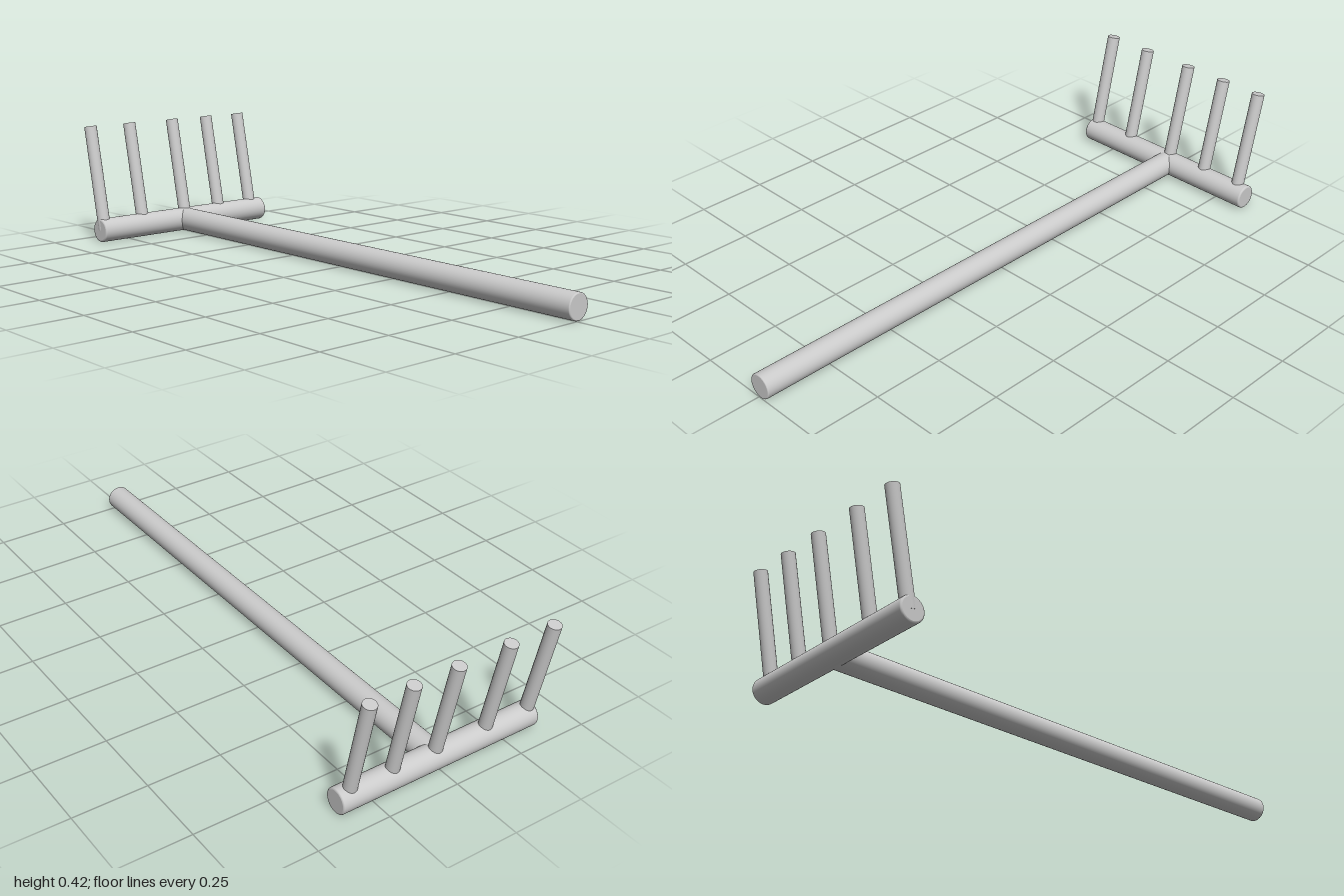
import * as THREE from 'three';

const RADIUS = 0.0425;      // handle and crossbar
const TOOTH_RADIUS = 0.0225;
const HEAD_Z = -0.9;
const material = new THREE.MeshStandardMaterial({ color: 0xcccccc });

// Round bar along y, centred, with slightly eased end edges
function easedBar(radius, length, ease) {
  const h = length / 2;
  const half = [];
  for (let i = 0; i <= 3; i++) {
    const a = (i / 3) * Math.PI / 2;
    half.push([radius - ease + ease * Math.cos(a), h - ease + ease * Math.sin(a)]);
  }
  const upper = half.map(([r, y]) => new THREE.Vector2(r, y));
  const lower = half.map(([r, y]) => new THREE.Vector2(r, -y)).reverse();
  return new THREE.LatheGeometry([
    new THREE.Vector2(0, -h), lower[0].clone(), ...lower,
    ...upper, upper[3].clone(), new THREE.Vector2(0, h),
  ], 48);
}

export function createModel() {
  const group = new THREE.Group();
  const add = (name, geometry, x, y, z) => {
    const mesh = new THREE.Mesh(geometry, material);
    mesh.name = name;
    mesh.position.set(x, y, z);
    group.add(mesh);
    return mesh;
  };

  // Long handle running forward from the head
  const handleLength = 1 - HEAD_Z;
  add('handle', easedBar(RADIUS, handleLength, 0.004), 0.008, RADIUS, (1 + HEAD_Z) / 2)
    .rotation.x = Math.PI / 2;

  // Crossbar of the rake head
  add('crossbar', easedBar(RADIUS, 0.74, 0.006), 0, RADIUS, HEAD_Z)
    .rotation.z = Math.PI / 2;

  // Teeth rise from the crossbar's axis and lean back
  const rise = 0.373, lean = 0.078;
  const toothGeometry = new THREE.CylinderGeometry(
    TOOTH_RADIUS, TOOTH_RADIUS, Math.hypot(rise, lean), 32);
  [-0.349, -0.181, 0.012, 0.172, 0.325].forEach((x, i) => {
    add(`tooth${i + 1}`, toothGeometry, x, RADIUS + rise / 2, HEAD_Z - lean / 2)
      .rotation.x = -Math.atan2(lean, rise);
  });

  return group;
}
